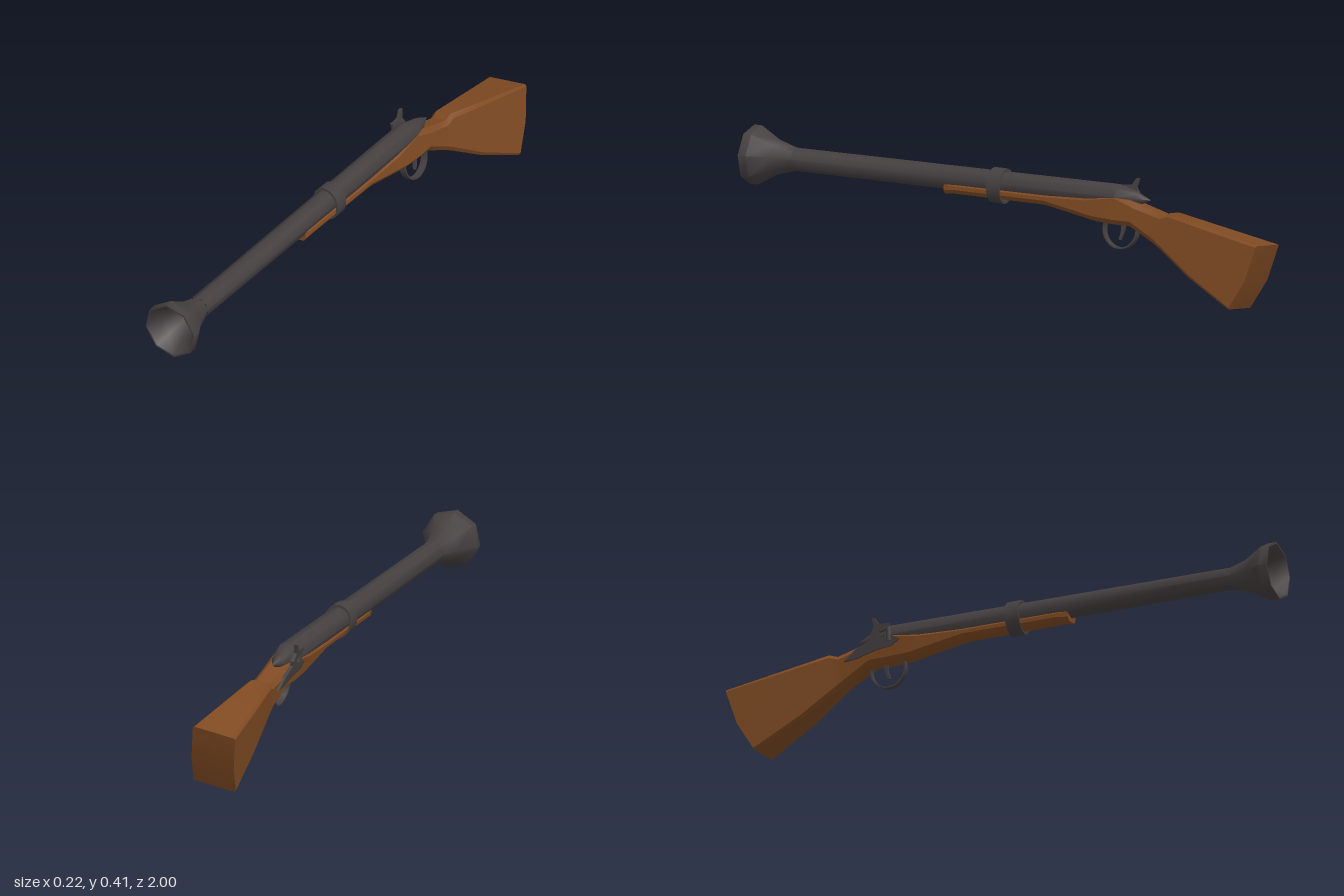
import * as THREE from 'three';
import { toCreasedNormals } from 'three/addons/utils/BufferGeometryUtils.js';

const flat = (name, color, side = THREE.FrontSide) => {
  const m = new THREE.MeshStandardMaterial({ color, side });
  m.name = name;
  return m;
};

// Turned shape along z from [z, radius] pairs, rear to front
function turned(points, sides, crease = 0.8) {
  const g = new THREE.LatheGeometry(points.map(([z, r]) => new THREE.Vector2(r, z)), sides);
  g.rotateX(Math.PI / 2);
  return toCreasedNormals(g, crease);
}

// Side-on outline of [z, y] pairs, given a thickness along x and centred at x
function sidePlate(outline, thickness, x) {
  const shape = new THREE.Shape(outline.map(([z, y]) => new THREE.Vector2(-z, y)));
  const g = new THREE.ExtrudeGeometry(shape, { depth: thickness, bevelEnabled: false });
  g.translate(0, 0, -thickness / 2);
  g.rotateY(Math.PI / 2);
  g.translate(x, 0, 0);
  return g;
}

// Chamfered cross-sections joined from front to rear:
// [top z, top y, bottom z, bottom y, half width, chamfer, rear bulge]
function stockGeometry(stations) {
  const pos = [], index = [], n = 10;
  for (const [zt, yt, zb, yb, w, c, bulge] of stations) {
    const half = [
      [w - c, yb], [w, yb + c], [w, yb + (yt - yb) * 0.45], [w, yt - c], [w - c, yt],
    ];
    const ring = [...half, ...half.map(([x, y]) => [-x, y]).reverse()];
    ring.forEach(([x, y], j) => {
      const f = (y - yb) / (yt - yb);
      pos.push(x, y, zb + (zt - zb) * f - (j % 5 === 2 ? bulge : 0));
    });
  }
  const last = stations.length - 1;
  for (let i = 0; i < last; i++) {
    for (let j = 0; j < n; j++) {
      const a = i * n + j, b = i * n + (j + 1) % n;
      index.push(a, a + n, b + n, a, b + n, b);
    }
  }
  // End caps, fanned from a centre point
  for (const [s, front] of [[0, true], [last, false]]) {
    const [zt, yt, zb, yb, , , bulge] = stations[s];
    const centre = pos.length / 3;
    pos.push(0, yb + (yt - yb) * 0.45, zb + (zt - zb) * 0.45 - bulge);
    for (let j = 0; j < n; j++) {
      const a = s * n + j, b = s * n + (j + 1) % n;
      index.push(centre, front ? a : b, front ? b : a);
    }
  }
  const g = new THREE.BufferGeometry();
  g.setAttribute('position', new THREE.Float32BufferAttribute(pos, 3));
  g.setIndex(index);
  return toCreasedNormals(g, 0.55);
}

export function createModel() {
  const wood = flat('walnut wood', 0x7f4a22);
  const steel = flat('dark steel', 0x453f40, THREE.DoubleSide);
  const black = flat('bore black', 0x0d0c0c);

  // Everything is rolled slightly about the barrel axis
  const model = new THREE.Group();
  model.name = 'flaredMusket';
  const roll = new THREE.Group();
  roll.name = 'rolledBody';
  roll.position.set(-0.009, 0.312, 0);
  roll.rotation.z = 0.16;
  model.add(roll);
  const body = new THREE.Group();
  body.name = 'gun';
  body.position.y = -0.312;
  roll.add(body);

  const add = (name, geometry, material, parent = body) => {
    const mesh = new THREE.Mesh(geometry, material);
    mesh.name = name;
    parent.add(mesh);
    return mesh;
  };

  // Stock: forearm, lock area, wrist, butt
  add('stock', stockGeometry([
    [0.24, 0.31, 0.24, 0.268, 0.032, 0.012, 0],
    [0.2, 0.311, 0.2, 0.272, 0.036, 0.013, 0],
    [-0.15, 0.315, -0.15, 0.275, 0.039, 0.014, 0],
    [-0.3, 0.325, -0.35, 0.243, 0.042, 0.016, 0],
    [-0.42, 0.345, -0.42, 0.24, 0.044, 0.016, 0],
    [-0.515, 0.316, -0.48, 0.241, 0.042, 0.016, 0],
    [-0.605, 0.293, -0.57, 0.197, 0.039, 0.014, 0],
    [-0.635, 0.303, -0.605, 0.178, 0.042, 0.013, 0],
    [-0.8, 0.272, -0.735, 0.097, 0.059, 0.01, 0],
    [-1, 0.235, -0.91, 0.011, 0.078, 0.006, 0.015],
  ]), wood);

  // Barrel with pointed tang, flared muzzle and hollow bore, pitched slightly
  const barrelGroup = new THREE.Group();
  barrelGroup.name = 'barrelGroup';
  barrelGroup.position.y = 0.326;
  barrelGroup.rotation.x = 0.0138;
  body.add(barrelGroup);
  add('barrel', turned([
    [-0.54, 0], [-0.49, 0.024], [-0.42, 0.043], [0.2, 0.041], [0.83, 0.039],
    [0.9, 0.06], [0.97, 0.1], [1, 0.1], [1, 0.094], [0.95, 0.066],
    [0.89, 0.043], [0.83, 0.036], [0.7, 0.034],
  ], 8), steel, barrelGroup);
  const bore = add('bore', new THREE.CircleGeometry(0.038, 12), black, barrelGroup);
  bore.position.z = 0.83;

  // Band clasping barrel and forearm
  const band = add('barrelBand', turned([
    [0.018, 0.85], [0.018, 1], [0.068, 1], [0.068, 0.85],
  ], 16, 0.6), steel);
  band.scale.set(0.05, 0.06, 1);
  band.position.y = 0.317;

  // Trigger guard: thin hoop, its upper part inside the stock
  const hoop = new THREE.LatheGeometry([
    [0.061, -0.012], [0.066, -0.012], [0.066, 0.012], [0.061, 0.012], [0.061, -0.012],
  ].map(([r, y]) => new THREE.Vector2(r, y)), 24);
  hoop.rotateZ(Math.PI / 2);
  const guard = add('triggerGuard', toCreasedNormals(hoop, 0.6), steel);
  guard.position.set(0, 0.224, -0.435);

  // Trigger
  add('trigger', sidePlate([
    [-0.435, 0.25], [-0.437, 0.22], [-0.43, 0.19], [-0.438, 0.188], [-0.447, 0.215], [-0.452, 0.25],
  ], 0.01, 0), steel);

  // Lock plate and hammer on one side
  add('lockPlate', sidePlate([
    [-0.37, 0.31], [-0.4, 0.328], [-0.47, 0.325], [-0.53, 0.3],
    [-0.575, 0.265], [-0.53, 0.268], [-0.46, 0.285], [-0.4, 0.29],
  ], 0.012, -0.043), steel);
  add('hammer', sidePlate([
    [-0.47, 0.305], [-0.445, 0.305], [-0.44, 0.345], [-0.405, 0.352], [-0.4, 0.37],
    [-0.44, 0.373], [-0.455, 0.397], [-0.465, 0.398], [-0.458, 0.366], [-0.475, 0.34],
  ], 0.012, -0.043), steel);
  const nipple = add('nipple', new THREE.CylinderGeometry(0.008, 0.011, 0.05, 8), steel);
  nipple.position.set(-0.042, 0.335, -0.408);

  return model;
}
